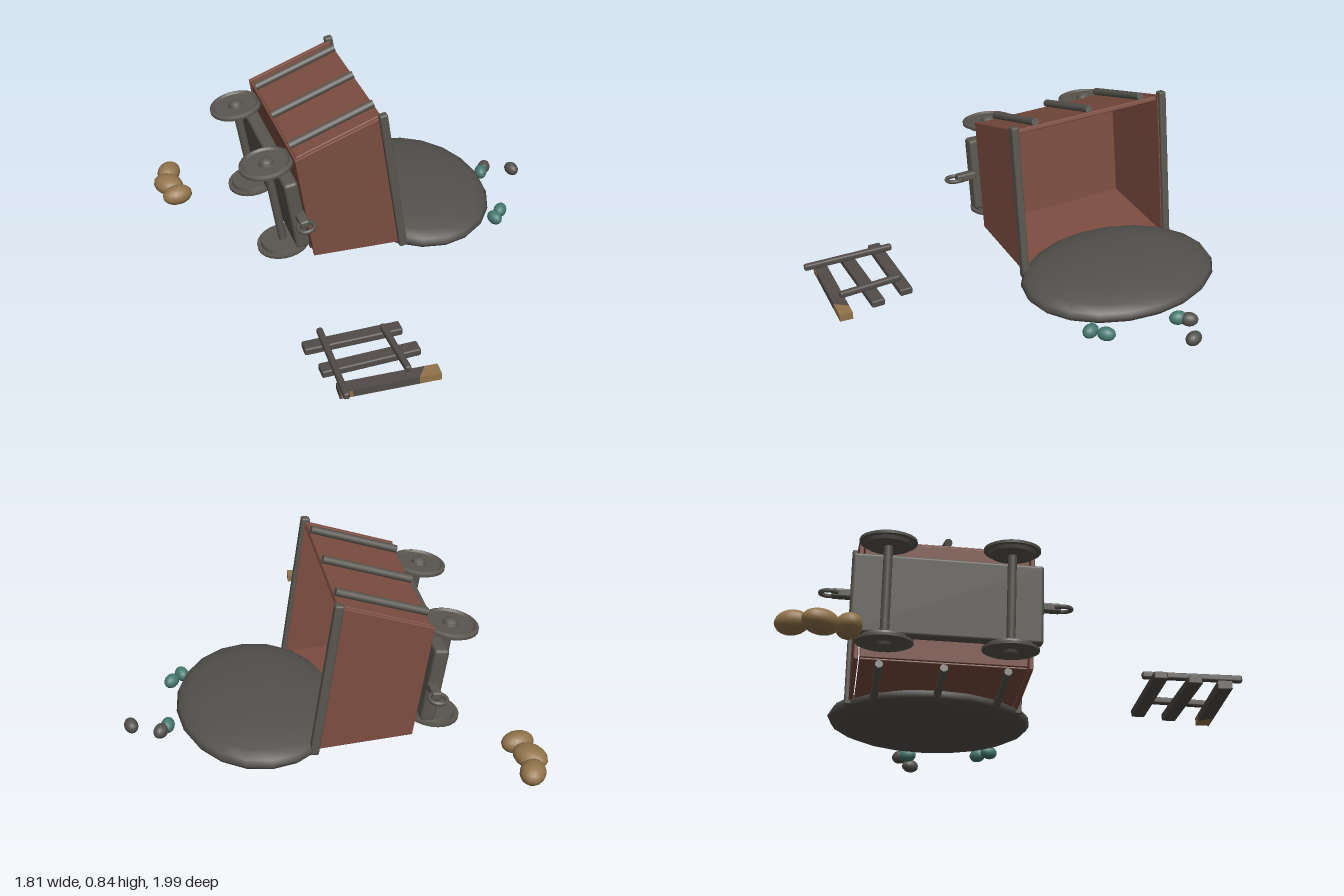
import * as THREE from 'three';
import { toCreasedNormals } from 'three/addons/utils/BufferGeometryUtils.js';
import { RoundedBoxGeometry } from 'three/addons/geometries/RoundedBoxGeometry.js';

function material(name, color) {
  const m = new THREE.MeshStandardMaterial({ color });
  m.name = name;
  return m;
}

export function createModel() {
  const model = new THREE.Group();
  model.name = 'tippedCart';
  const iron = material('iron', 0x59564f);
  const rust = material('rustedPanel', 0x7c4d40);
  const rock = material('rock', 0x53514d);
  const wood = material('weatheredWood', 0x514c48);
  const tan = material('tan', 0x92744b);
  const teal = material('tealOre', 0x467a70);

  const add = (parent, name, geo, mat, pos = [0, 0, 0], rot = [0, 0, 0]) => {
    const mesh = new THREE.Mesh(geo, mat);
    mesh.name = name;
    mesh.position.set(...pos);
    mesh.rotation.set(...rot);
    parent.add(mesh);
    return mesh;
  };
  const box = (w, h, d, r = 0.005) => new RoundedBoxGeometry(w, h, d, 2, r);
  const blob = (parent, name, mat, pos, size, yaw = 0, segs = 16) => {
    const mesh = add(parent, name, new THREE.SphereGeometry(1, segs, 12), mat, pos, [0, yaw, 0]);
    mesh.scale.set(...size);
    return mesh;
  };

  // Cart lies on its side: local +x is the opening, local y its width, z its length
  const cart = new THREE.Group();
  cart.name = 'cart';
  cart.position.set(-0.355, 0.405, -0.288);
  cart.rotation.z = 0.14;
  model.add(cart);

  add(cart, 'floor', box(0.02, 0.53, 0.73), rust, [0.0, 0, 0]);

  // Sloped long walls with three ribs each
  const depth = 0.415, flare = 0.083;
  const slope = Math.atan2(flare, depth), wallLength = Math.hypot(depth, flare);
  for (const s of [-1, 1]) {
    add(cart, 'longWall', box(wallLength, 0.022, 0.73), rust,
      [depth / 2, s * 0.304, 0], [0, 0, s * slope]);
    for (const z of [-0.28, 0, 0.28]) {
      add(cart, 'rib', new THREE.CylinderGeometry(0.018, 0.018, wallLength, 10), iron,
        [depth / 2 - 0.005, s * 0.33, z], [0, 0, s * slope - Math.PI / 2]);
    }
  }

  // Trapezoid end walls, rim bars and couplings
  const endShape = new THREE.Shape([
    new THREE.Vector2(-0.01, -0.27), new THREE.Vector2(depth, -0.355),
    new THREE.Vector2(depth, 0.355), new THREE.Vector2(-0.01, 0.27),
  ]);
  const endGeo = new THREE.ExtrudeGeometry(endShape, {
    depth: 0.012, bevelThickness: 0.004, bevelSize: 0.004, bevelSegments: 2,
  });
  endGeo.translate(0, 0, -0.006);
  for (const s of [-1, 1]) {
    add(cart, 'endWall', endGeo, rust, [0, 0, s * 0.38]);
    add(cart, 'rimBar', box(0.04, 0.75, 0.036, 0.008), iron, [depth, 0, s * 0.392]);
    add(cart, 'couplingStem', box(0.045, 0.04, 0.1, 0.01), iron, [-0.045, 0, s * 0.45]);
    add(cart, 'couplingRing', new THREE.TorusGeometry(0.038, 0.01, 8, 20), iron,
      [-0.045, 0, s * 0.51], [Math.PI / 2, 0, 0]);
  }

  // Undercarriage
  add(cart, 'chassis', box(0.066, 0.36, 0.84, 0.015), iron, [-0.058, 0, 0]);
  const wheelProfile = [
    [0, -0.02], [0.1, -0.02], [0.105, -0.004], [0.125, -0.004], [0.125, 0.008], [0.11, 0.015],
    [0.1, 0.006], [0.035, 0.006], [0.03, 0.02], [0.016, 0.03], [0, 0.032],
  ].map(([r, y]) => new THREE.Vector2(r, y));
  const wheelGeo = toCreasedNormals(new THREE.LatheGeometry(wheelProfile, 24), 0.6);
  for (const z of [-0.27, 0.27]) {
    add(cart, 'axle', new THREE.CylinderGeometry(0.02, 0.02, 0.46, 12), iron, [-0.122, 0, z]);
    for (const s of [-1, 1]) {
      add(cart, 'wheel', wheelGeo, iron, [-0.122, s * 0.223, z], [s > 0 ? 0 : Math.PI, 0, 0]);
    }
  }

  // Spilled heap and loose lumps of ore
  blob(model, 'spilledHeap', rock, [0.3, 0.11, -0.288], [0.368, 0.09, 0.48], 0, 20);
  for (const [mat, x, z, yaw] of [
    [teal, 0.615, 0.045, 0.3], [teal, 0.667, -0.005, -0.7], [teal, 0.715, -0.352, -0.3],
    [rock, 0.748, -0.388, -0.6], [rock, 0.877, -0.325, 0.25],
  ]) blob(model, 'oreLump', mat, [x, 0.083, z], [0.031, 0.033, 0.042], yaw);

  // Pile of three sacks
  for (const [x, z, rx, rz, yaw] of [
    [-0.803, -0.935, 0.057, 0.073, -0.5], [-0.828, -0.825, 0.065, 0.083, 0.6],
    [-0.805, -0.717, 0.076, 0.054, 0.15],
  ]) blob(model, 'sack', tan, [x, 0.057, z], [rx, 0.049, rz], yaw);

  // Broken track piece: three planks, the last with a split pale end
  const track = new THREE.Group();
  track.name = 'brokenTrack';
  model.add(track);
  add(track, 'plank', box(0.447, 0.036, 0.062, 0.008), wood, [-0.322, 0.048, 0.615], [0, -0.03, 0]);
  add(track, 'plank', box(0.447, 0.036, 0.064, 0.008), wood, [-0.295, 0.048, 0.77], [0, -0.01, 0]);
  const splitPlank = new THREE.Group();
  splitPlank.name = 'splitPlank';
  splitPlank.position.set(-0.265, 0.03, 0.925);
  splitPlank.rotation.y = -0.075;
  track.add(splitPlank);
  const slab = (name, points, mat) => {
    const geo = new THREE.ExtrudeGeometry(
      new THREE.Shape(points.map(([x, z]) => new THREE.Vector2(x, -z))),
      { depth: 0.036, bevelEnabled: false });
    geo.rotateX(-Math.PI / 2);
    add(splitPlank, name, geo, mat);
  };
  slab('plankBody', [[-0.222, 0.031], [0.125, 0.031], [0.165, -0.031], [-0.222, -0.031]], wood);
  slab('plankBreak', [[0.125, 0.031], [0.222, 0.031], [0.222, -0.031], [0.165, -0.031]], tan);
  add(splitPlank, 'paleChip', new THREE.BoxGeometry(0.05, 0.03, 0.004), tan, [-0.19, 0.018, 0.031]);

  // Rails resting across the planks
  for (const [x, z, length, yaw] of [[-0.463, 0.77, 0.44, -0.045], [-0.18, 0.77, 0.305, 0.03]]) {
    add(track, 'rail', box(0.028, 0.032, length, 0.01), wood, [x, 0.082, z], [0, yaw, 0]);
  }
  return model;
}
